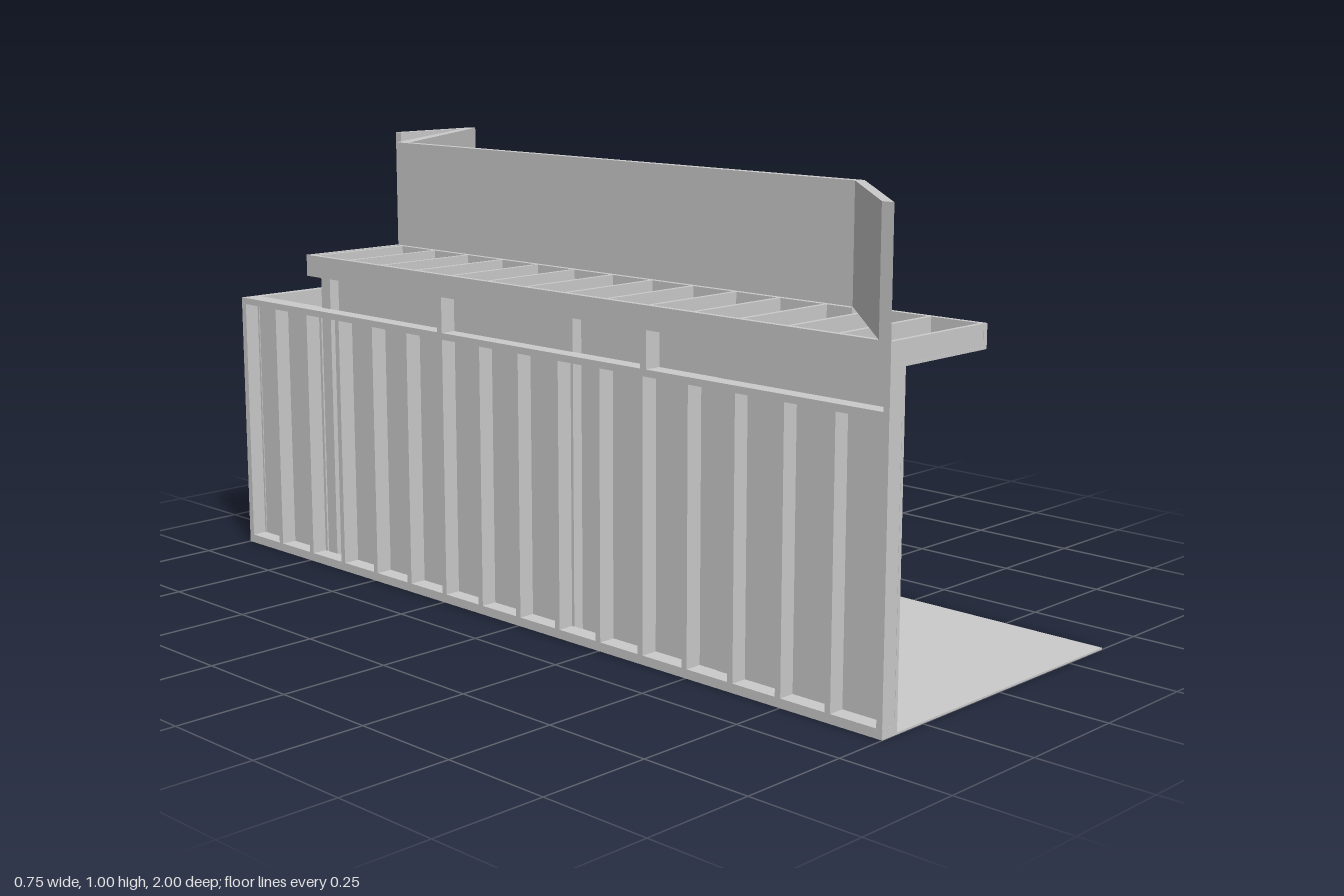
import * as THREE from 'three';

const material = new THREE.MeshStandardMaterial({ color: 0xcccccc, flatShading: true });

export function createModel() {
  const model = new THREE.Group();
  model.name = 'stageSet';

  const add = (parent, name, geometry) => {
    const mesh = new THREE.Mesh(geometry, material);
    mesh.name = name;
    parent.add(mesh);
    return mesh;
  };
  // Box given by its limits on each axis
  const box = (parent, name, x0, x1, y0, y1, z0, z1) => {
    const g = new THREE.BoxGeometry(x1 - x0, y1 - y0, z1 - z0);
    g.translate((x0 + x1) / 2, (y0 + y1) / 2, (z0 + z1) / 2);
    return add(parent, name, g);
  };
  // Upright prism over a plan outline of [x, z] corners
  const prism = (parent, name, plan, y0, y1) => {
    const shape = new THREE.Shape(plan.map(([x, z]) => new THREE.Vector2(x, -z)));
    const g = new THREE.ExtrudeGeometry(shape, { depth: y1 - y0, bevelEnabled: false });
    g.rotateX(-Math.PI / 2);
    g.translate(0, y0, 0);
    return add(parent, name, g);
  };
  const group = (name) => {
    const g = new THREE.Group();
    g.name = name;
    model.add(g);
    return g;
  };

  const X = 0.375, FRAME = 0.62, SOFFIT = 0.7, DECK = 0.75;

  box(model, 'floor', -X, X, 0, 0.004, -1, 1);

  // Long side wall: stud frame outside, stepped sheets inside
  const side = group('sideWall');
  const bays = [
    [-1, -0.73, -0.33, FRAME],
    [-0.7, -0.27, -0.305, SOFFIT],
    [-0.27, 0.13, -0.33, SOFFIT],
    [0.13, 0.56, -0.305, SOFFIT],
    [0.56, 1, -0.33, SOFFIT],
  ];
  for (const [z0, z1, face, top] of bays) {
    box(side, 'sideSheet', face - 0.008, face, 0.004, top, z0, z1);
    // Returns that close the steps between bays
    if (face > -0.33) {
      box(side, 'stepReturn', -0.338, face, 0.004, top, z1 - 0.008, z1);
      box(side, 'stepReturn', -0.338, face, 0.004, top, z0, z0 + 0.008);
    }
  }
  box(side, 'bottomPlate', -X, -0.336, 0.004, 0.02, -1, 1);
  box(side, 'topPlate', -X, -0.336, FRAME - 0.015, FRAME, -1, 1);
  for (let i = 0; i <= 16; i++) {
    const z = -0.993 + i * 0.1241;
    box(side, 'stud', -X, -0.336, 0.02, FRAME - 0.015, z - 0.007, z + 0.007);
  }
  box(side, 'endPost', -X, -0.336, FRAME, SOFFIT, 0.986, 1);
  for (const z of [-0.25, 0.38]) box(side, 'deckBlock', -X, -0.336, FRAME, SOFFIT, z - 0.008, z + 0.008);

  // Back wall: sheet with studs outside, and a taller framed panel at one end
  const back = group('backWall');
  box(back, 'backSheet', -0.34, X, 0.004, FRAME, -0.985, -0.98);
  box(back, 'bottomPlate', -X, X, 0.004, 0.02, -1, -0.984);
  box(back, 'topPlate', -X, X, FRAME - 0.015, FRAME, -1, -0.984);
  for (let i = 0; i <= 6; i++) {
    const x = 0.368 - i * 0.1227;
    box(back, 'stud', x - 0.007, x + 0.007, 0.02, FRAME - 0.015, -1, -0.984);
  }
  box(back, 'tallSheet', 0.12, X, FRAME, 1, -0.985, -0.98);
  box(back, 'tallSideRail', 0.12, 0.134, FRAME, 1, -1, -0.984);
  box(back, 'tallSideRail', X - 0.014, X, FRAME, 1, -1, -0.984);
  box(back, 'tallTopRail', 0.134, X - 0.014, 0.986, 1, -1, -0.984);
  box(back, 'tallBottomRail', 0.134, X - 0.014, FRAME, FRAME + 0.014, -1, -0.984);

  // Full-height slanted wall
  prism(model, 'slantedWall', [[-0.08, -0.7], [X, -0.98], [0.335, -0.98], [-0.1, -0.725], [-0.1, -0.7]], 0.004, 1);

  // Short wall with doorway and half-open door
  const door = group('doorWall');
  const opening = new THREE.Shape([
    [-0.338, 0.004], [-0.305, 0.004], [-0.305, 0.5], [-0.105, 0.5],
    [-0.105, 0.004], [-0.08, 0.004], [-0.08, SOFFIT], [-0.338, SOFFIT],
  ].map(([x, y]) => new THREE.Vector2(x, y)));
  const wall = new THREE.ExtrudeGeometry(opening, { depth: 0.025, bevelEnabled: false });
  wall.translate(0, 0, -0.725);
  add(door, 'doorwayWall', wall);
  prism(door, 'doorLeaf', [[-0.305, -0.7], [-0.13, -0.6], [-0.127, -0.605], [-0.302, -0.705]], 0.006, 0.5);

  // Overhead deck: soffit sheet, rails and joists
  const deck = group('overheadDeck');
  box(deck, 'soffit', -X, -0.08, SOFFIT, SOFFIT + 0.006, -0.73, 1);
  box(deck, 'outerRail', -X, -0.363, SOFFIT, DECK, -0.73, 1);
  box(deck, 'innerRail', -0.112, -0.1, SOFFIT, DECK, -0.73, 0.7);
  box(deck, 'frontFascia', -0.092, -0.08, SOFFIT, DECK, 0.7, 1);
  for (let i = 0; i <= 14; i++) {
    const z = -0.7 + i * 0.1211;
    const x1 = z > 0.7 ? -0.09 : -0.11;
    box(deck, 'joist', -0.365, x1, SOFFIT, DECK, z - 0.006, z + 0.004);
  }
  box(deck, 'endJoist', -X, -0.1, SOFFIT, DECK, -0.73, -0.718);

  // Upper fascia walls above the deck
  box(model, 'upperWall', -0.1, -0.08, SOFFIT, 1, -0.7, 0.7);
  prism(model, 'upperSlantedWall', [[-0.08, 0.7], [-X, 1], [-X, 0.972], [-0.1, 0.692]], DECK, 1);

  return model;
}
